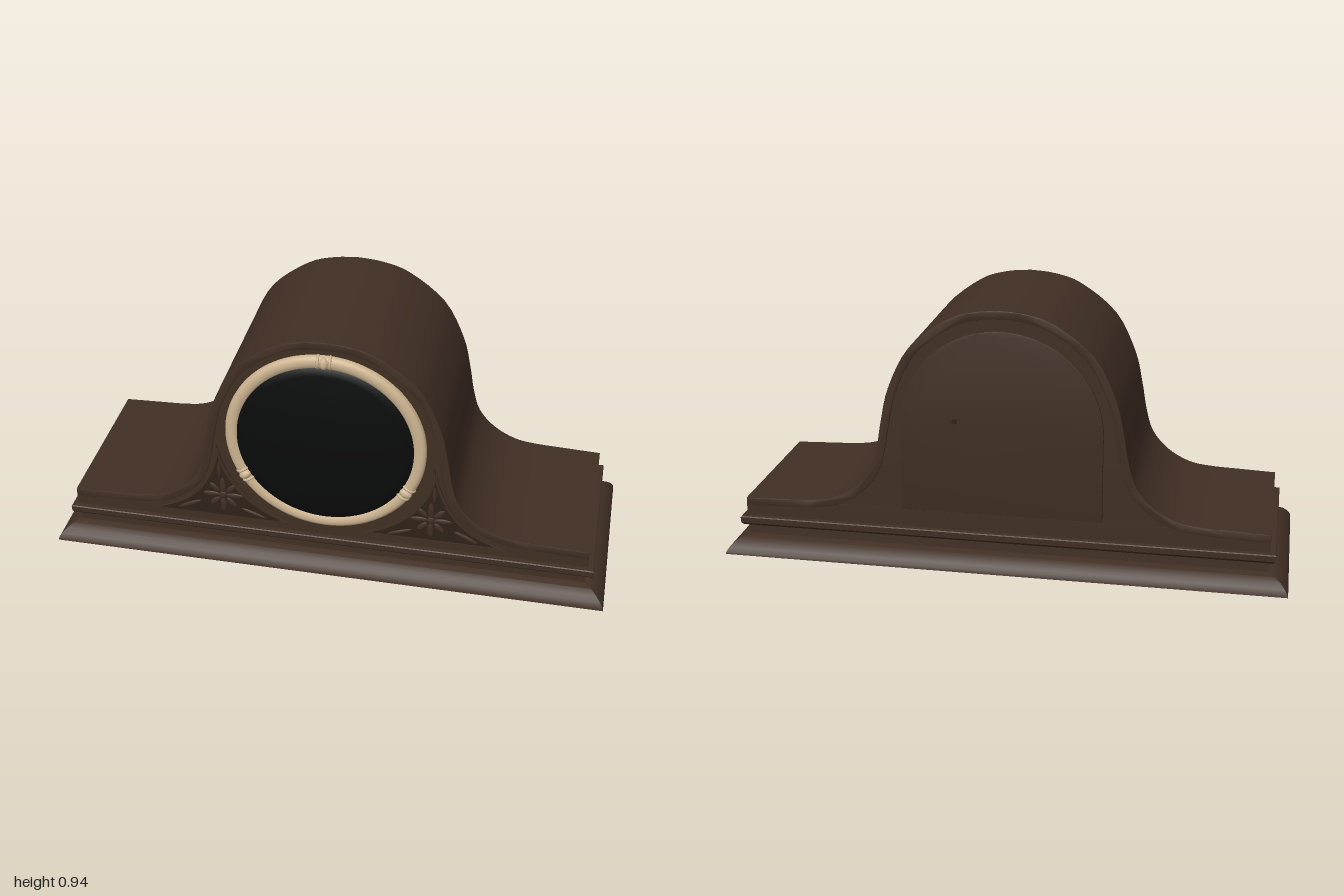
import * as THREE from 'three';
import { toCreasedNormals } from 'three/addons/utils/BufferGeometryUtils.js';

const paint = (name, hex) => {
  const m = new THREE.MeshStandardMaterial({ color: hex });
  m.name = name;
  return m;
};
const V = (x, y) => new THREE.Vector2(x, y);

export function createModel() {
  const wood = paint('walnut', 0x412f24);
  const dark = paint('carved shadow wood', 0x2e2219);
  const ivory = paint('ivory bezel', 0xcdb491);
  const black = paint('black glass', 0x0a0b0b);

  const model = new THREE.Group();
  model.name = 'mantelClock';
  const add = (name, geo, mat, parent = model) => {
    const mesh = new THREE.Mesh(geo, mat);
    mesh.name = name;
    parent.add(mesh);
    return mesh;
  };
  // Extrude an outline between two z positions
  const slab = (shape, z0, z1, bevel = 0) => {
    const g = new THREE.ExtrudeGeometry(shape, {
      depth: z1 - z0 - 2 * bevel, curveSegments: 40, bevelEnabled: bevel > 0,
      bevelSize: bevel, bevelThickness: bevel, bevelOffset: -bevel, bevelSegments: 2,
    });
    return toCreasedNormals(g.translate(0, 0, z0 + bevel), 0.6);
  };

  // Plinth: rectangular rings of [inset, height] stacked into a moulding
  const moulding = [[0, 0], [0.002, 0.008], [0.012, 0.024], [0.028, 0.04], [0.048, 0.052], [0.071, 0.06],
    [0.073, 0.095], [0.056, 0.098], [0.048, 0.107], [0.047, 0.128], [0.05, 0.131], [0.067, 0.132], [0.067, 0.196]];
  const rings = moulding.map(([d, y]) =>
    [[1, 1], [1, -1], [-1, -1], [-1, 1]].map(([sx, sz]) => [sx * (1 - d), y, sz * (0.367 - d)]));
  const pos = [];
  const quad = (a, b, c, d) => pos.push(...a, ...b, ...c, ...a, ...c, ...d);
  for (let i = 0; i < rings.length - 1; i++) {
    for (let k = 0; k < 4; k++) {
      const n = (k + 1) % 4;
      quad(rings[i][k], rings[i][n], rings[i + 1][n], rings[i + 1][k]);
    }
  }
  quad(...rings[rings.length - 1]);
  quad(...[...rings[0]].reverse());
  const plinth = new THREE.BufferGeometry();
  plinth.setAttribute('position', new THREE.Float32BufferAttribute(pos, 3));
  add('plinth', toCreasedNormals(plinth, 0.5), wood);

  // Case: bell-shaped outline, mirrored about x = 0
  const half = new THREE.SplineCurve([
    V(0.933, 0.198), V(0.8, 0.203), V(0.69, 0.208), V(0.61, 0.222), V(0.53, 0.266), V(0.47, 0.335), V(0.443, 0.42),
    V(0.425, 0.52), V(0.395, 0.645), V(0.32, 0.79), V(0.19, 0.894), V(0.09, 0.928), V(0, 0.937),
  ]).getPoints(48);
  const outline = [...half, ...half.slice(0, -1).reverse().map(p => V(-p.x, p.y))];
  const body = new THREE.Shape([V(0.933, 0.15), ...outline, V(-0.933, 0.15)]);
  add('caseBody', slab(body, -0.297, 0.297), wood);

  // Raised edge strips following the outline, front and back
  const inner = outline.map((p, i) => {
    const t = outline[Math.min(i + 1, outline.length - 1)].clone().sub(outline[Math.max(i - 1, 0)]).normalize();
    return V(p.x - t.y * 0.03, p.y + t.x * 0.03);
  });
  const strip = new THREE.Shape([...outline, ...inner.reverse()]);
  add('frontEdgeStrip', slab(strip, 0.29, 0.302, 0.003), wood);
  add('backEdgeStrip', slab(strip, -0.302, -0.29, 0.003), wood);

  // Arched back door with a small knob
  const door = new THREE.Shape();
  door.moveTo(-0.355, 0.2);
  door.lineTo(0.355, 0.2);
  door.lineTo(0.355, 0.51);
  door.absarc(0, 0.51, 0.355, 0, Math.PI);
  door.lineTo(-0.355, 0.2);
  add('backDoor', slab(door, -0.309, -0.29, 0.002), wood);
  const knob = add('doorKnob', new THREE.CylinderGeometry(0.02, 0.02, 0.008, 20), wood);
  knob.rotation.x = Math.PI / 2;
  knob.position.set(0.16, 0.54, -0.309);
  const keyhole = add('doorKeyhole', new THREE.CylinderGeometry(0.01, 0.01, 0.002, 16), dark);
  keyhole.rotation.x = Math.PI / 2;
  keyhole.position.set(0.16, 0.54, -0.313);

  // Dial: domed glass inside a rounded bezel with three ties
  const dial = new THREE.Group();
  dial.name = 'dial';
  dial.position.y = 0.535;
  model.add(dial);
  const dome = [V(0.312, 0.3)];
  for (let i = 0; i <= 10; i++) {
    const r = 0.312 * (1 - i / 10);
    dome.push(V(r, 0.34 - 0.026 * (r / 0.312) ** 2));
  }
  add('dialGlass', new THREE.LatheGeometry(dome, 64).rotateX(Math.PI / 2), black, dial);
  const ring = [V(0.352, 0.295), V(0.353, 0.307), V(0.348, 0.316), V(0.338, 0.321), V(0.326, 0.321),
    V(0.315, 0.318), V(0.307, 0.312), V(0.305, 0.3)];
  add('bezel', new THREE.LatheGeometry(ring, 96).rotateX(Math.PI / 2), ivory, dial);
  for (const deg of [90, 210, 330]) {
    const tie = new THREE.Group();
    tie.name = 'bezelTie';
    tie.rotation.z = THREE.MathUtils.degToRad(deg);
    dial.add(tie);
    const boss = add('tieBoss', new THREE.SphereGeometry(1, 16, 12), ivory, tie);
    boss.scale.set(0.023, 0.016, 0.014);
    boss.position.set(0.33, 0, 0.316);
    for (const s of [-1, 1]) {
      const band = add('tieBand', new THREE.TorusGeometry(0.023, 0.005, 8, 16, Math.PI), ivory, tie);
      band.rotation.x = Math.PI / 2;
      band.position.set(0.329, s * 0.021, 0.3);
    }
  }

  // Carved corner panels: dark field, raised frame, flower and leaves
  const centre = V(0.385, 0.245);
  const side = new THREE.SplineCurve([V(0.645, 0.157), V(0.54, 0.207), V(0.46, 0.285), V(0.41, 0.38), V(0.38, 0.48)]);
  const corner = [...side.getPoints(16)];
  for (let i = 0; i <= 16; i++) {
    const a = THREE.MathUtils.lerp(-0.16, -1.21, i / 16);
    corner.push(V(0.395 * Math.cos(a), 0.535 + 0.395 * Math.sin(a)));
  }
  corner.push(V(0.14, 0.157));
  for (const s of [-1, 1]) {
    const panel = new THREE.Group();
    panel.name = s > 0 ? 'leftCarvedPanel' : 'rightCarvedPanel';
    model.add(panel);
    const scaled = k => corner.map(p =>
      V(s * (centre.x + (p.x - centre.x) * k), centre.y + (p.y - centre.y) * k));
    add('panelField', slab(new THREE.Shape(scaled(0.97)), 0.295, 0.302), dark, panel);
    const frame = new THREE.Shape(scaled(1));
    frame.holes.push(new THREE.Path(scaled(0.87)));
    add('panelFrame', slab(frame, 0.295, 0.306), wood, panel);
    const petal = (name, x, y, angle, len, wide) => {
      const m = add(name, new THREE.SphereGeometry(1, 12, 8), wood, panel);
      m.scale.set(len, wide, 0.005);
      m.rotation.z = angle;
      m.position.set(s * x, y, 0.302);
    };
    for (let i = 0; i < 8; i++) {
      const a = i * Math.PI / 4;
      const len = i % 2 ? 0.026 : 0.034;
      petal('flowerPetal', 0.375 + Math.cos(a) * 0.042, 0.255 + Math.sin(a) * 0.042, s * a, len, 0.011);
    }
    petal('flowerCentre', 0.375, 0.255, 0, 0.015, 0.015);
    petal('upperLeaf', 0.385, 0.365, Math.PI / 2, 0.035, 0.007);
    petal('outerLeaf', 0.5, 0.197, s * -0.45, 0.05, 0.009);
    petal('innerLeaf', 0.265, 0.187, s * 0.35, 0.05, 0.008);
  }
  return model;
}
